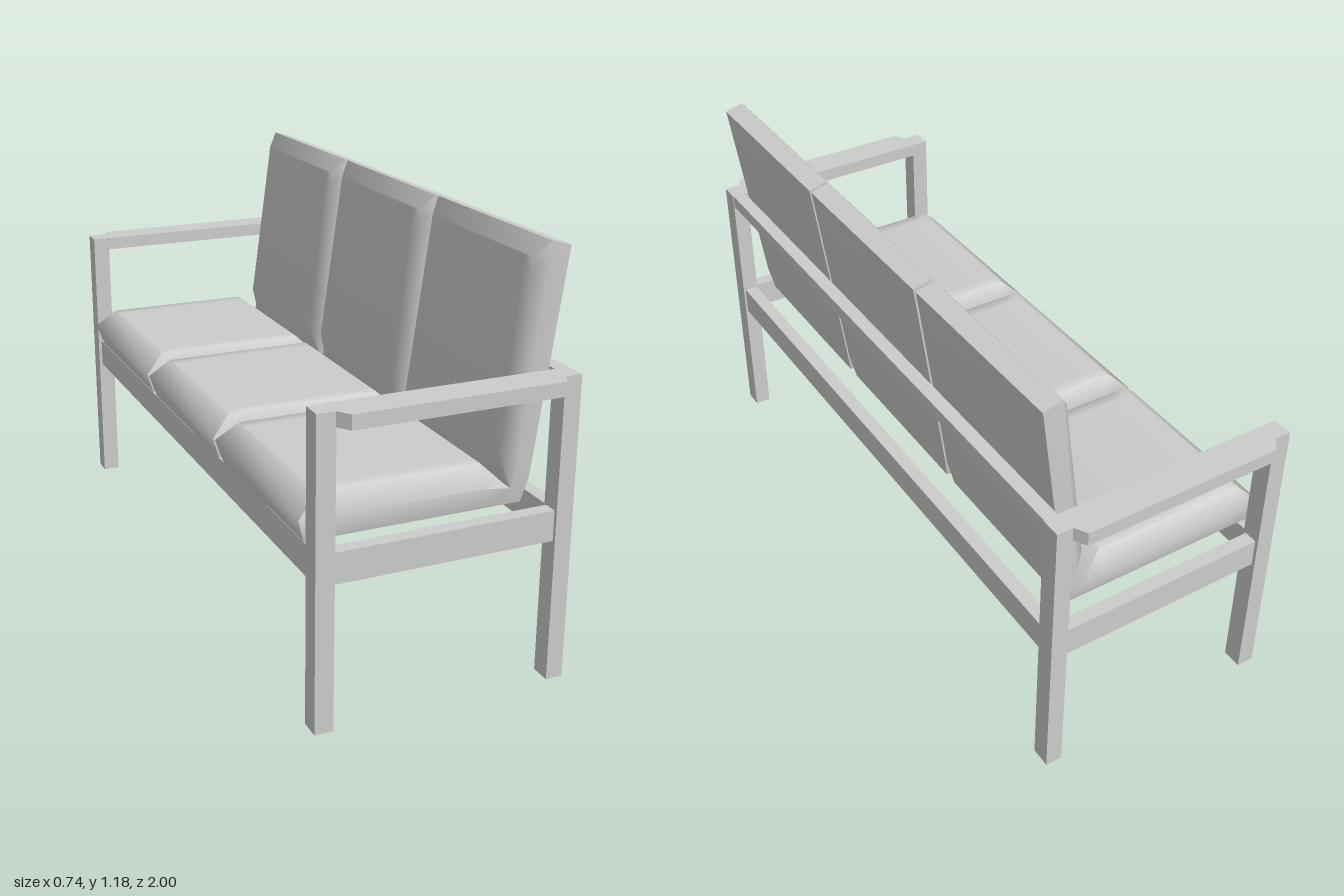
import * as THREE from 'three';
import { toCreasedNormals } from 'three/addons/utils/BufferGeometryUtils.js';

const frameMat = new THREE.MeshStandardMaterial({ color: 0xcccccc });
const cushionMat = new THREE.MeshStandardMaterial({ color: 0xcccccc });

// Box given by its min and max on each axis
function bar(name, [x0, x1], [y0, y1], [z0, z1]) {
  const mesh = new THREE.Mesh(new THREE.BoxGeometry(x1 - x0, y1 - y0, z1 - z0), frameMat);
  mesh.position.set((x0 + x1) / 2, (y0 + y1) / 2, (z0 + z1) / 2);
  mesh.name = name;
  return mesh;
}

// Armrest between the legs, outer corners clipped
function armrest(side) {
  const s = new THREE.Shape();
  [[-0.31, 0.905], [0.32, 0.905], [0.32, 0.965], [0.3, 1], [-0.285, 1], [-0.31, 0.965]]
    .forEach(([x, z], i) => (i ? s.lineTo(x, -z * side) : s.moveTo(x, -z * side)));
  const geo = new THREE.ExtrudeGeometry(s, { depth: 0.04, bevelEnabled: false });
  geo.rotateX(-Math.PI / 2);
  geo.translate(0, 0.817, 0);
  const mesh = new THREE.Mesh(geo, frameMat);
  mesh.name = 'armrest';
  return mesh;
}

// One-piece seat and back cushion, lofted along an L from front edge to top.
// Each station: outer, middle and inner point (x, y), and outer half width.
function cushionGeometry() {
  const stations = [
    [[-0.35, 0.49], [-0.37, 0.555], [-0.31, 0.61], 0.277],
    [[-0.27, 0.49], [-0.27, 0.552], [-0.27, 0.61], 0.277],
    [[0.15, 0.49], [0.15, 0.55], [0.15, 0.61], 0.277],
    [[0.265, 0.49], [0.225, 0.54], [0.225, 0.54], 0.277],
    [[0.279, 0.56], [0.245, 0.63], [0.205, 0.63], 0.291],
    [[0.359, 1.13], [0.304, 1.14], [0.27, 1.1], 0.291],
    [[0.365, 1.17], [0.31, 1.185], [0.275, 1.14], 0.291],
  ];
  const pos = [], idx = [], N = 8;
  for (const [o, m, i, zo] of stations) {
    const half = [[o, zo], [m, 0.291], [i, 0.258], [i, 0.22]];
    half.forEach(([p, z]) => pos.push(p[0], p[1], z));
    half.reverse().forEach(([p, z]) => pos.push(p[0], p[1], -z));
  }
  const quad = (a, b, c, d) => idx.push(a, b, c, a, c, d);
  for (let s = 0; s < stations.length - 1; s++) {
    for (let k = 0; k < N; k++) {
      const a = s * N + k, b = s * N + (k + 1) % N;
      quad(a, a + N, b + N, b);
    }
  }
  // End caps
  const e = (stations.length - 1) * N;
  for (let k = 0; k < 2; k++) {
    quad(k, k + 1, 6 - k, 7 - k);
    quad(e + 7 - k, e + 6 - k, e + k + 1, e + k);
  }
  const geo = new THREE.BufferGeometry();
  geo.setAttribute('position', new THREE.Float32BufferAttribute(pos, 3));
  geo.setIndex(idx);
  return toCreasedNormals(geo, 1.13);
}

export function createModel() {
  const model = new THREE.Group();
  model.name = 'threeSeatBench';

  // Legs, arms and side rails, mirrored
  for (const side of [1, -1]) {
    const z = (a, b) => (side > 0 ? [a, b] : [-b, -a]);
    model.add(
      bar('frontLeg', [-0.36, -0.308], [0, 0.857], z(0.907, 0.965)),
      bar('backLeg', [0.318, 0.367], [0, 0.857], z(0.907, 0.965)),
      bar('sideRail', [-0.308, 0.318], [0.403, 0.489], z(0.915, 0.955)),
      armrest(side),
    );
  }

  // Long rails
  model.add(
    bar('frontRail', [-0.35, -0.315], [0.403, 0.489], [-0.907, 0.907]),
    bar('backRail', [0.32, 0.36], [0.403, 0.489], [-0.907, 0.907]),
    bar('topBackRail', [0.325, 0.365], [0.817, 0.857], [-0.907, 0.907]),
  );

  // Three cushions side by side
  const geo = cushionGeometry();
  for (const n of [-1, 0, 1]) {
    const cushion = new THREE.Mesh(geo, cushionMat);
    cushion.position.z = n * 0.595;
    cushion.name = 'cushion';
    model.add(cushion);
  }
  return model;
}
